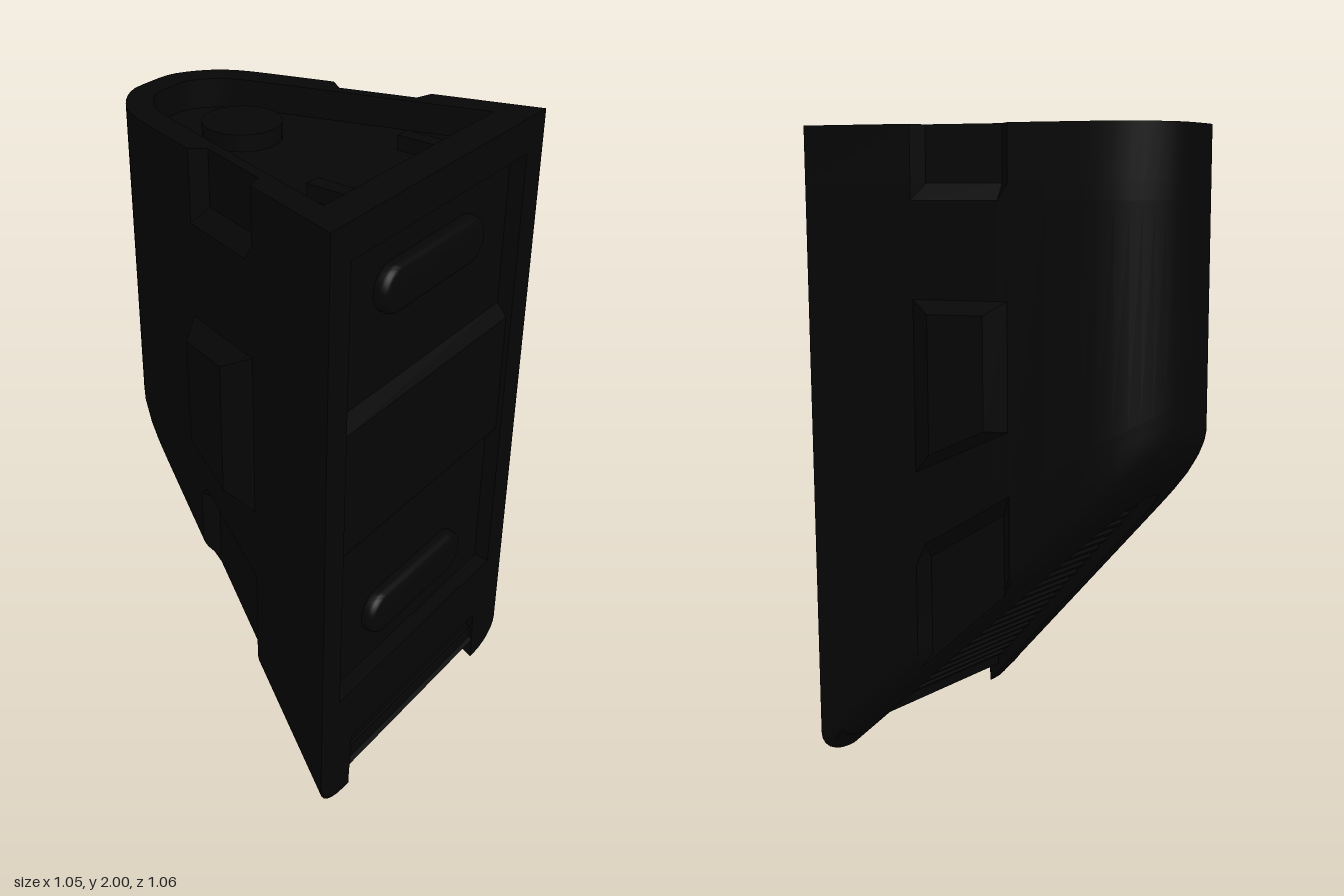
import * as THREE from 'three';
import { toCreasedNormals } from 'three/addons/utils/BufferGeometryUtils.js';

// quad surface through a grid of points, rows[i][j] = [x, y, z]
function gridSurface(rows) {
  const n = rows[0].length, index = [];
  for (let i = 0; i < rows.length - 1; i++) {
    for (let j = 0; j < n - 1; j++) {
      const a = i * n + j, b = a + n;
      index.push(a, b, b + 1, a, b + 1, a + 1);
    }
  }
  const g = new THREE.BufferGeometry();
  g.setAttribute('position', new THREE.Float32BufferAttribute(rows.flat(2), 3));
  g.setIndex(index);
  return toCreasedNormals(g, 0.5);
}

const FRONT = 0.527;
const slant = z => 0.97 * (FRONT - z);       // sloping underside
const wallX = z => 0.363 + 0.309 * z;        // straight part of the side wall

export function createModel() {
  const group = new THREE.Group();
  // double-sided because the shell is open at the front
  const black = new THREE.MeshStandardMaterial({ color: 0x060606, side: THREE.DoubleSide });
  black.name = 'black';
  const add = (name, geometry, x = 0, y = 0, z = 0) => {
    const m = new THREE.Mesh(geometry, black);
    m.name = name;
    m.position.set(x, y, z);
    group.add(m);
    return m;
  };
  const box = (name, w, h, d, x, y, z) => add(name, new THREE.BoxGeometry(w, h, d), x, y, z);

  // footprint: straight flared sides, rounded back
  const half = [FRONT, 0.2, 0.17, -0.06, -0.09, -0.2].map(z => [wallX(z), z]);
  half.push([0.27, -0.3], [0.255, -0.345], [0.236, -0.39], [0.212, -0.43], [0.187, -0.457], [0.16, -0.481],
    [0.13, -0.502], [0.1, -0.518], [0.072, -0.527], [0.04, -0.53]);
  const outline = [...half, [0, -0.53], ...half.map(([x, z]) => [-x, z]).reverse()];
  const last = outline.length - 1;
  const inset = (i, d) => {
    const [x, z] = outline[i];
    if (i === 0 || i === last) return [x - Math.sign(x) * d / 0.955, z];
    const p = outline[i - 1], q = outline[i + 1];
    const tx = q[0] - p[0], tz = q[1] - p[1], l = Math.hypot(tx, tz);
    return [x + tz / l * d, z - tx / l * d];
  };

  // shell: wall section from the underside recess, round the outside, to the top pocket
  const rows = outline.map(([, z], i) => {
    const cut = z < 0.18 && z > -0.07 ? 0.045 : 0;   // stacking recesses in each side
    const lip = 0.848 - 0.64 * z;
    const at = (d, y) => {
      const [px, pz] = inset(i, d);
      return [px, typeof y === 'function' ? y(pz) : y, pz];
    };
    const row = [at(0.145, pz => slant(pz) + 0.08), at(0.145, slant)];
    for (let k = 0; k <= 6; k++) {
      const a = k / 6 * Math.PI / 2;
      row.push(at(Math.max(0.12 * (1 - Math.sin(a)), cut), pz => slant(pz) + 0.085 * (1 - Math.cos(a))));
    }
    row.push(at(cut, lip - 0.05), at(0, lip), at(0, 1.78), at(cut, 1.83), at(cut, 2), at(0.08, 2), at(0.08, 1.91));
    return row;
  });
  add('shell', gridSurface(rows));

  // floors of the top pocket and underside, as strips from side to side
  const strips = j => rows.slice(0, last / 2 + 1).map((r, i) => [r[j], rows[last - i][j]]);
  add('topPocketFloor', gridSurface(strips(rows[0].length - 1)));
  add('undersideFloor', gridSurface(strips(0).map(r => r.reverse())));

  // ribs across the sloping underside
  for (let k = 0; k < 22; k++) {
    const z = 0.46 - k * 0.037;
    const w = z > -0.18 ? wallX(z) - 0.155 : 0.152 - (-0.18 - z) * 0.45;
    const rib = box('undersideRib', 2 * w, 0.03, 0.02, 0, slant(z) + 0.075, z);
    rib.rotation.x = Math.atan(0.97);
  }

  // details in the top pocket
  add('topDisc', new THREE.CylinderGeometry(0.118, 0.118, 0.05, 32), 0, 1.935, -0.175);
  for (const s of [-1, 1]) box('topRib', 0.05, 0.05, 0.19, s * 0.215, 1.93, 0.335);

  // front frame with rounded feet and a large opening
  const frame = new THREE.Shape();
  frame.moveTo(0.525, 2);
  frame.lineTo(-0.525, 2);
  frame.lineTo(-0.525, 0.1);
  frame.quadraticCurveTo(-0.515, 0.012, -0.4, 0);
  frame.lineTo(-0.375, 0.005);
  frame.lineTo(-0.365, 0.2);
  frame.lineTo(0.365, 0.2);
  frame.lineTo(0.375, 0.005);
  frame.lineTo(0.4, 0);
  frame.quadraticCurveTo(0.515, 0.012, 0.525, 0.1);
  const opening = new THREE.Path();
  opening.moveTo(-0.435, 0.4);
  opening.lineTo(-0.435, 1.89);
  opening.lineTo(0.435, 1.89);
  opening.lineTo(0.435, 0.4);
  frame.holes.push(opening);
  const depth = FRONT - 0.47;
  const frameGeo = new THREE.ExtrudeGeometry(frame, { depth, bevelEnabled: false, curveSegments: 8 });
  const p = frameGeo.attributes.position;
  for (let i = 0; i < p.count; i++) {          // follow the flared sides and the slope
    const back = depth - p.getZ(i);
    if (Math.abs(p.getX(i)) > 0.5) p.setX(i, p.getX(i) - Math.sign(p.getX(i)) * back * 0.309);
    if (p.getY(i) < 0.15) p.setY(i, p.getY(i) + back * 0.97);
  }
  add('frontFrame', toCreasedNormals(frameGeo, 0.5), 0, 0, 0.47);
  box('frontPanel', 0.96, 1.8, 0.055, 0, 1.1, 0.4475);
  box('frontSill', 0.74, 0.12, 0.03, 0, 0.14, 0.49);
  box('frontSillLip', 0.74, 0.06, 0.012, 0, 0.11, 0.51);

  // raised middle band with sloping edges
  const band = new THREE.Shape([[0, 0.89], [0.035, 0.94], [0.035, 1.35], [0, 1.39]].map(([x, y]) => new THREE.Vector2(x, y)));
  const bandGeo = new THREE.ExtrudeGeometry(band, { depth: 0.87, bevelEnabled: false });
  bandGeo.rotateY(-Math.PI / 2);
  add('middleBand', bandGeo, 0.435, 0, 0.475);

  // rounded grips
  const grip = new THREE.Shape();
  grip.absarc(0.182, 0, 0.052, -Math.PI / 2, Math.PI / 2);
  grip.absarc(-0.182, 0, 0.052, Math.PI / 2, Math.PI * 1.5);
  const gripGeo = toCreasedNormals(new THREE.ExtrudeGeometry(grip, {
    depth: 0.02, bevelThickness: 0.022, bevelSize: 0.022, bevelSegments: 4, curveSegments: 12,
  }), 0.6);
  for (const y of [1.703, 0.58]) add('frontGrip', gripGeo, 0, y, 0.475);

  // tapered stacking bumps on the sides
  const ring = (pts, out) => pts.map(([z, y]) => [wallX(z) + out * 0.955, y, z - out * 0.295]);
  const base = ring([[0.2, 1.49], [0.2, 0.96], [-0.09, 1.1], [-0.09, 1.49]], -0.003);
  const top = ring([[0.13, 1.45], [0.13, 1.03], [-0.036, 1.11], [-0.036, 1.45]], 0.064);
  for (const s of [1, -1]) {
    const surface = list => {
      const placed = list.map(r => r.map(([x, y, z]) => [s * x, y, z]));
      return gridSurface(s > 0 ? placed : placed.reverse());
    };
    add('sideBump', surface([[...top, top[0]], [...base, base[0]]]));
    add('sideBumpFace', surface([[top[1], top[0]], [top[2], top[3]]]));
  }
  return group;
}
